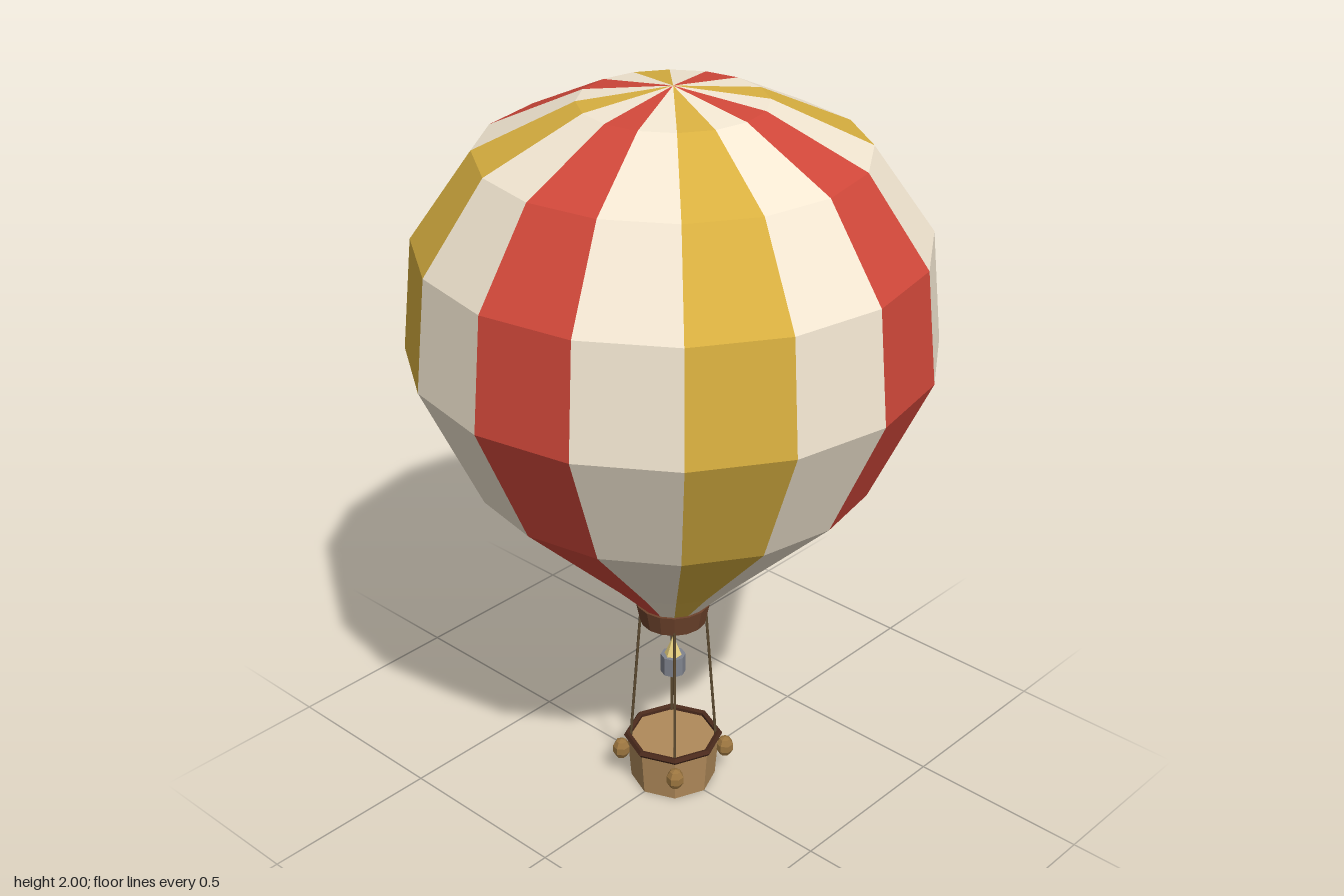
import * as THREE from 'three';
import { mergeGeometries } from 'three/addons/utils/BufferGeometryUtils.js';

const mat = (color) => new THREE.MeshStandardMaterial({ color, flatShading: true });

export function createModel() {
  const model = new THREE.Group();
  model.name = 'hotAirBalloon';
  const add = (name, geometry, material, y = 0) => {
    const mesh = new THREE.Mesh(geometry, material);
    mesh.name = name;
    mesh.position.y = y;
    model.add(mesh);
    return mesh;
  };

  const wicker = mat(0xb08a5a), leather = mat(0x6e432c), darkWood = mat(0x4a2a1c);
  const rope = mat(0x5c4a30), sand = mat(0x9c7640), steel = mat(0x80848e), fire = mat(0xe8d080);

  // Envelope: 16 flat gores, coloured red, cream, gold, cream in turn
  const profile = [
    [0.09, 0.575], [0.2, 0.69], [0.515, 1.0], [0.667, 1.335],
    [0.637, 1.625], [0.48, 1.847], [0.23, 1.965], [0, 2],
  ].map(([r, y]) => new THREE.Vector2(r, y));
  const gores = 16, step = (Math.PI * 2) / gores;
  const stripes = [
    ['redGores', 0xd1483a, [0]],
    ['creamGores', 0xf3e7d2, [1, 3]],
    ['goldGores', 0xd9b040, [2]],
  ];
  for (const [name, color, slots] of stripes) {
    const parts = [];
    for (let i = 0; i < gores; i++) {
      if (slots.includes(i % 4)) parts.push(new THREE.LatheGeometry(profile, 1, i * step, step));
    }
    add(name, mergeGeometries(parts), mat(color));
  }

  // Skirt at the mouth of the envelope
  add('skirt', new THREE.CylinderGeometry(0.102, 0.09, 0.06, 16), leather, 0.55);

  // Burner and flame
  add('burner', new THREE.CylinderGeometry(0.034, 0.034, 0.055, 8), steel, 0.375);
  add('flame', new THREE.ConeGeometry(0.025, 0.06, 6), fire, 0.43);

  // Eight-sided basket with a rim
  add('basket', new THREE.CylinderGeometry(0.127, 0.117, 0.132, 8), wicker, 0.066);
  const rim = new THREE.TorusGeometry(0.127, 0.01, 5, 8);
  rim.rotateX(-Math.PI / 2);
  add('basketRim', rim, darkWood, 0.135);

  // Ropes and sandbags at the four diagonals
  const up = new THREE.Vector3(0, 1, 0);
  for (const sx of [1, -1]) {
    for (const sz of [1, -1]) {
      const low = new THREE.Vector3(sx * 0.084, 0.12, sz * 0.084);
      const high = new THREE.Vector3(sx * 0.062, 0.54, sz * 0.062);
      const span = high.clone().sub(low);
      const line = add('rope', new THREE.CylinderGeometry(0.004, 0.004, span.length(), 5), rope);
      line.position.copy(low).add(high).multiplyScalar(0.5);
      line.quaternion.setFromUnitVectors(up, span.normalize());

      const bag = add('sandbag', new THREE.SphereGeometry(0.025, 7, 5), sand);
      bag.position.set(sx * 0.102, 0.09, sz * 0.102);
      bag.scale.y = 1.25;
    }
  }
  return model;
}
